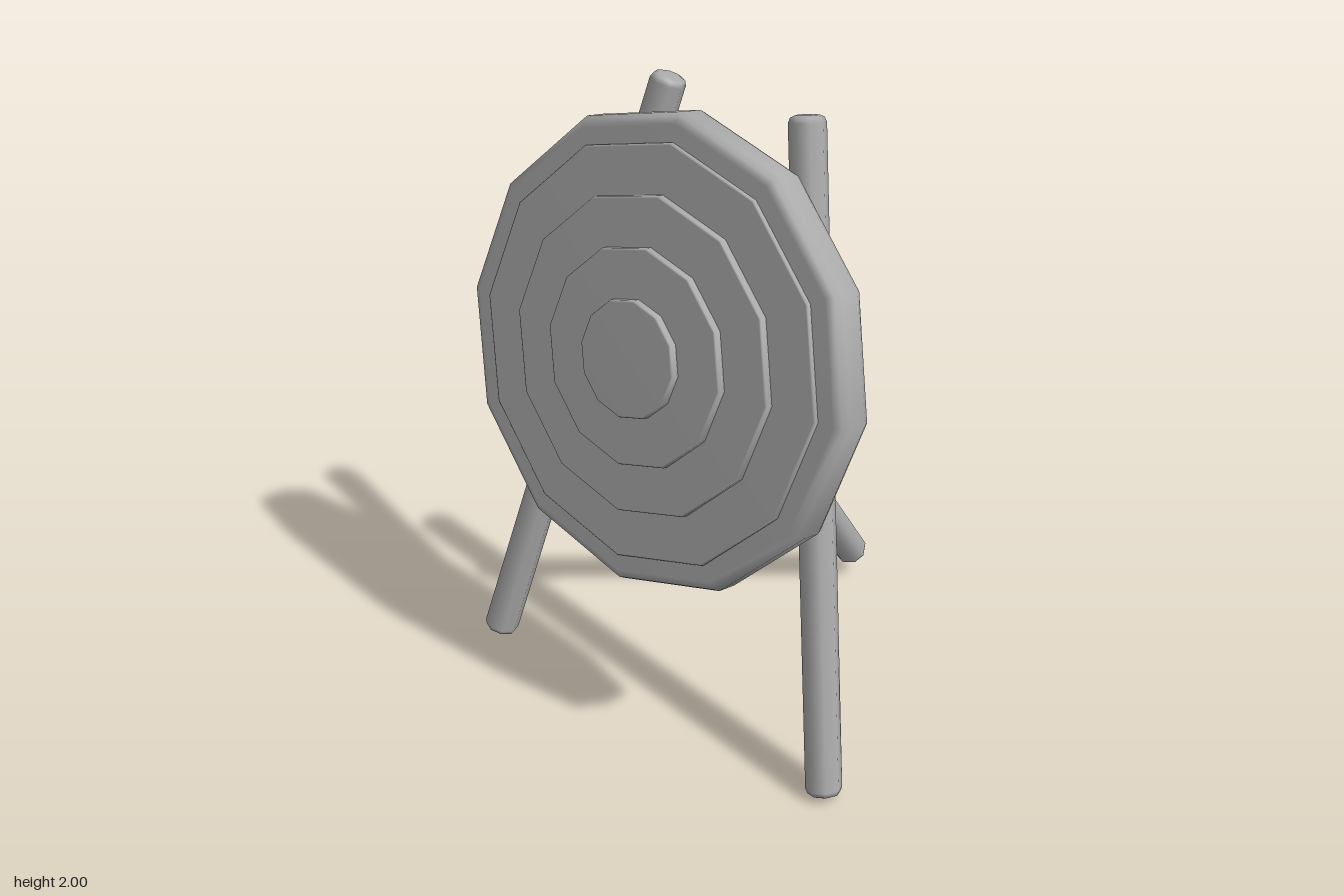
import * as THREE from 'three';

const TILT = THREE.MathUtils.degToRad(12.4);

// Lathe with a softly bevelled edge, closed at both ends, along +y from y0 to y1.
function bevelled(radius, y0, y1, bevel, sides) {
  const k = bevel * 0.3;
  const profile = [
    [0, y0], [radius - bevel, y0], [radius - k, y0 + k], [radius, y0 + bevel],
    [radius, y1 - bevel], [radius - k, y1 - k], [radius - bevel, y1], [0, y1],
  ].map(([x, y]) => new THREE.Vector2(x, y));
  return new THREE.LatheGeometry(profile, sides);
}

export function createModel() {
  const grey = new THREE.MeshStandardMaterial({ color: 0xaaaaaa });
  grey.name = 'grey';
  const model = new THREE.Group();
  model.name = 'targetOnStand';

  const add = (parent, name, geometry) => {
    const mesh = new THREE.Mesh(geometry, grey);
    mesh.name = name;
    parent.add(mesh);
    return mesh;
  };

  // Round target, leaning back, with its axis along local +y
  const target = new THREE.Group();
  target.name = 'target';
  target.position.set(0, 1.28, 0.4);
  target.rotation.x = Math.PI / 2 - TILT;
  model.add(target);
  add(target, 'targetBoard', bevelled(0.735, -0.07, 0.07, 0.035, 12));

  // Stepped scoring rings, each smaller one standing further forward
  [0.647, 0.492, 0.337, 0.182].forEach((radius, i) => {
    const front = 0.084 + i * 0.025;
    add(target, 'ring' + (i + 1), bevelled(radius, front - 0.035, front, 0.007, 12));
  });

  // Round poles between two points
  const pole = (name, from, to) => {
    const a = new THREE.Vector3(...from);
    const b = new THREE.Vector3(...to);
    const direction = b.clone().sub(a);
    const mesh = add(model, name, bevelled(0.057, 0, direction.length(), 0.022, 8));
    mesh.position.copy(a);
    mesh.quaternion.setFromUnitVectors(new THREE.Vector3(0, 1, 0), direction.normalize());
  };
  for (const [name, s] of [['leftLeg', 1], ['rightLeg', -1]]) {
    pole(name, [s * 0.7, 0.012, 0.475], [s * 0.263, 1.99, 0.042]);
  }
  pole('backLeg', [0, 0.075, -0.597], [0, 1.22, 0.19]);

  return model;
}
